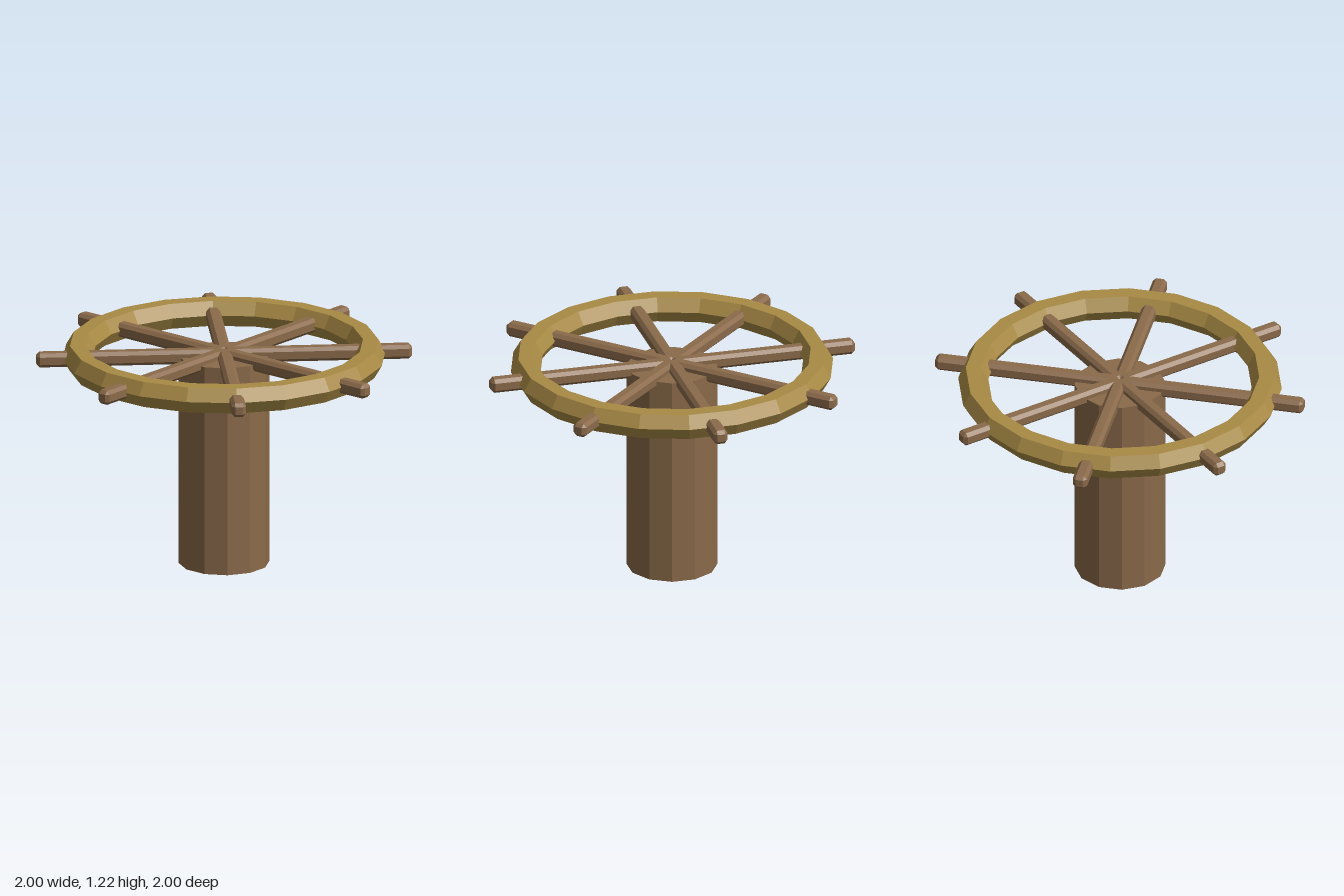
import * as THREE from 'three';
import { ConvexGeometry } from 'three/addons/geometries/ConvexGeometry.js';

const wood = new THREE.MeshStandardMaterial({ color: 0x8a6a4a, flatShading: true });
const brass = new THREE.MeshStandardMaterial({ color: 0xa88a45, flatShading: true });

const HUB_Y = 1.15;
const SPOKES = 8;

// Box with every edge and corner cut off by a single flat chamfer
function chamferedBox(w, h, d, c) {
  const points = [];
  for (const sx of [-1, 1]) for (const sy of [-1, 1]) for (const sz of [-1, 1]) {
    for (let axis = 0; axis < 3; axis++) {
      const p = [w / 2 - c, h / 2 - c, d / 2 - c];
      p[axis] += c;
      points.push(new THREE.Vector3(sx * p[0], sy * p[1], sz * p[2]));
    }
  }
  return new ConvexGeometry(points);
}

export function createModel() {
  const model = new THREE.Group();
  model.name = 'wheelOnPost';

  // Twelve-sided post, reaching up to the middle of the spokes
  const post = new THREE.Mesh(new THREE.CylinderGeometry(0.242, 0.242, HUB_Y, 12), wood);
  post.name = 'post';
  post.position.y = HUB_Y / 2;
  model.add(post);

  // Rim with a six-sided section
  const rim = new THREE.Mesh(new THREE.TorusGeometry(0.78, 0.08, 6, 20), brass);
  rim.name = 'rim';
  rim.rotation.x = -Math.PI / 2;
  rim.position.y = HUB_Y;
  model.add(rim);

  // Spokes run from the centre through the rim and end as handles
  const spokes = new THREE.Group();
  spokes.name = 'spokes';
  spokes.position.y = HUB_Y;
  const spokeGeometry = chamferedBox(1, 0.077, 0.077, 0.018).translate(0.5, 0, 0);
  for (let i = 0; i < SPOKES; i++) {
    const spoke = new THREE.Mesh(spokeGeometry, wood);
    spoke.name = 'spoke' + (i + 1);
    spoke.rotation.y = (i / SPOKES) * Math.PI * 2;
    spokes.add(spoke);
  }
  model.add(spokes);

  return model;
}
